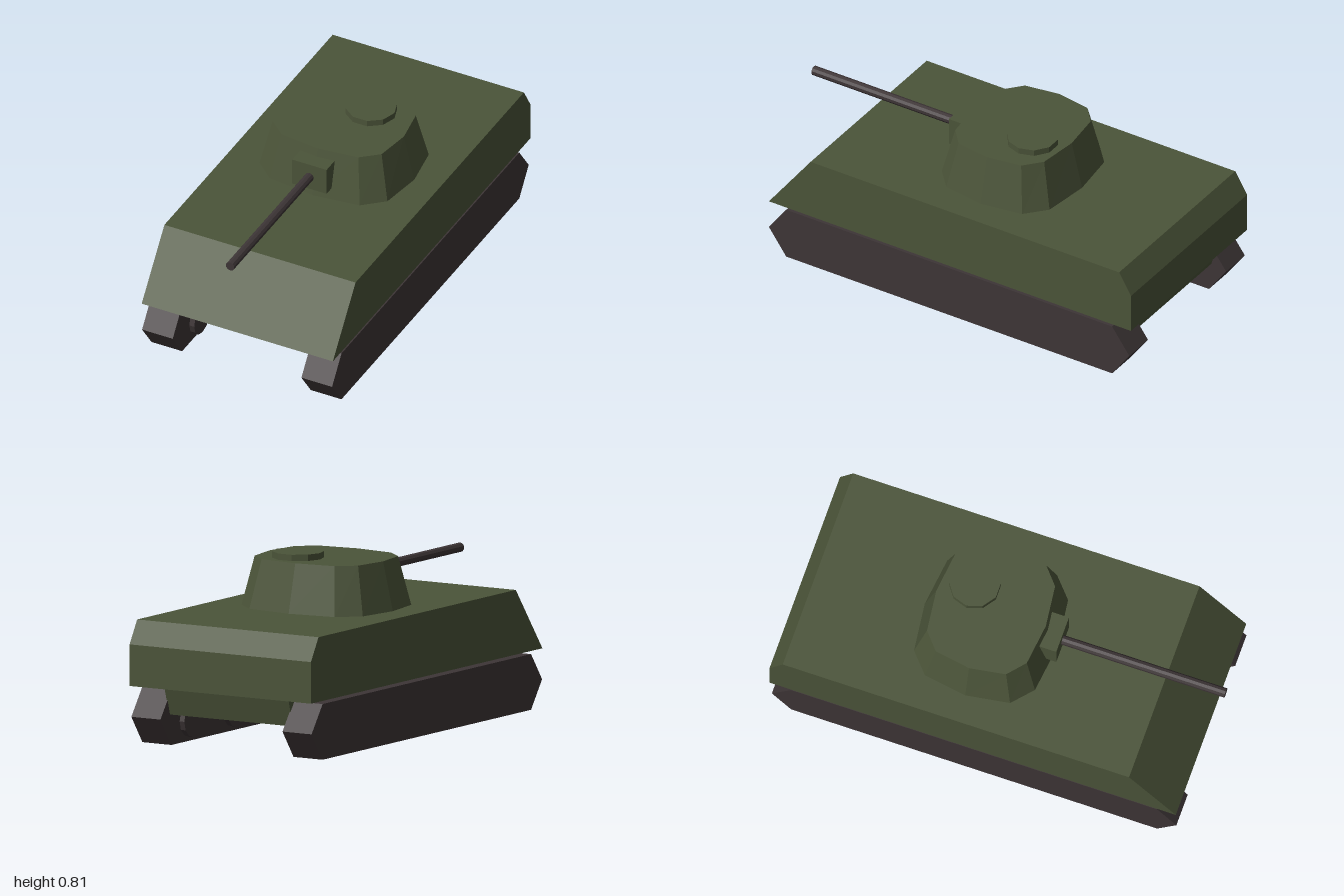
import * as THREE from 'three';

const paint = (name, color) => {
  const m = new THREE.MeshStandardMaterial({ color, flatShading: true });
  m.name = name;
  return m;
};

// Side profile given as [z, y] points, extruded across x and centred at x = 0
function sideProfile(points, width) {
  const shape = new THREE.Shape(points.map(([z, y]) => new THREE.Vector2(z, y)));
  const geo = new THREE.ExtrudeGeometry(shape, { depth: width, bevelEnabled: false });
  return geo.translate(0, 0, -width / 2).rotateY(-Math.PI / 2);
}

// Rounded-rectangle turret: a 12-sided drum squared off and tapered toward the roof
function turretGeometry(height) {
  const geo = new THREE.CylinderGeometry(1, 1, height, 12);
  const p = geo.attributes.position;
  const square = (v) => (Math.abs(v) < 1e-4 ? 0 : Math.sign(v) * Math.abs(v) ** 0.64);
  for (let i = 0; i < p.count; i++) {
    const top = p.getY(i) > 0;
    p.setX(i, square(p.getX(i)) * (top ? 0.302 : 0.354));
    p.setZ(i, square(p.getZ(i)) * (top ? 0.26 : 0.315));
  }
  geo.computeVertexNormals();
  return geo;
}

export function createModel() {
  const green = paint('armour green', 0x4b5439);
  const grey = paint('track grey', 0x3d3536);
  const model = new THREE.Group();
  model.name = 'tank';

  const add = (name, geo, material, x = 0, y = 0, z = 0, parent = model) => {
    const mesh = new THREE.Mesh(geo, material);
    mesh.name = name;
    mesh.position.set(x, y, z);
    parent.add(mesh);
    return mesh;
  };

  // Hull
  add('upperHull', sideProfile(
    [[0.93, 0.268], [0.708, 0.562], [-0.937, 0.562], [-1, 0.457], [-1, 0.268]], 0.966), green);
  add('lowerHull', sideProfile(
    [[0.88, 0.27], [0.75, 0.14], [-0.91, 0.14], [-0.95, 0.27]], 0.66), green);

  // Turret with roof hatch and gun
  const turret = new THREE.Group();
  turret.name = 'turret';
  model.add(turret);
  add('turretBody', turretGeometry(0.222), green, 0, 0.673, -0.115, turret);
  add('hatch', new THREE.CylinderGeometry(0.117, 0.117, 0.04, 10).rotateY(Math.PI / 2),
    green, 0.083, 0.793, -0.22, turret);
  add('mantlet', new THREE.BoxGeometry(0.174, 0.132, 0.125), green, 0, 0.679, 0.1625, turret);
  add('gunBarrel', new THREE.CylinderGeometry(0.022, 0.022, 0.8, 10).rotateX(Math.PI / 2),
    grey, 0, 0.678, 0.6, turret);

  // Tracks and road wheels, mirrored
  const trackGeo = sideProfile(
    [[0.932, 0.127], [0.84, 0.253], [-0.898, 0.253], [-0.99, 0.127], [-0.898, 0], [0.84, 0]], 0.155);
  const wheelGeo = new THREE.CylinderGeometry(0.08, 0.08, 0.05, 12).rotateZ(Math.PI / 2);
  for (const side of [1, -1]) {
    const running = new THREE.Group();
    running.name = side > 0 ? 'leftTrack' : 'rightTrack';
    model.add(running);
    add('trackBelt', trackGeo, grey, side * 0.4025, 0, 0, running);
    for (let i = 0; i < 5; i++) {
      add('roadWheel', wheelGeo, grey, side * 0.325, 0.098, 0.69 - i * 0.36, running);
    }
  }

  return model;
}
